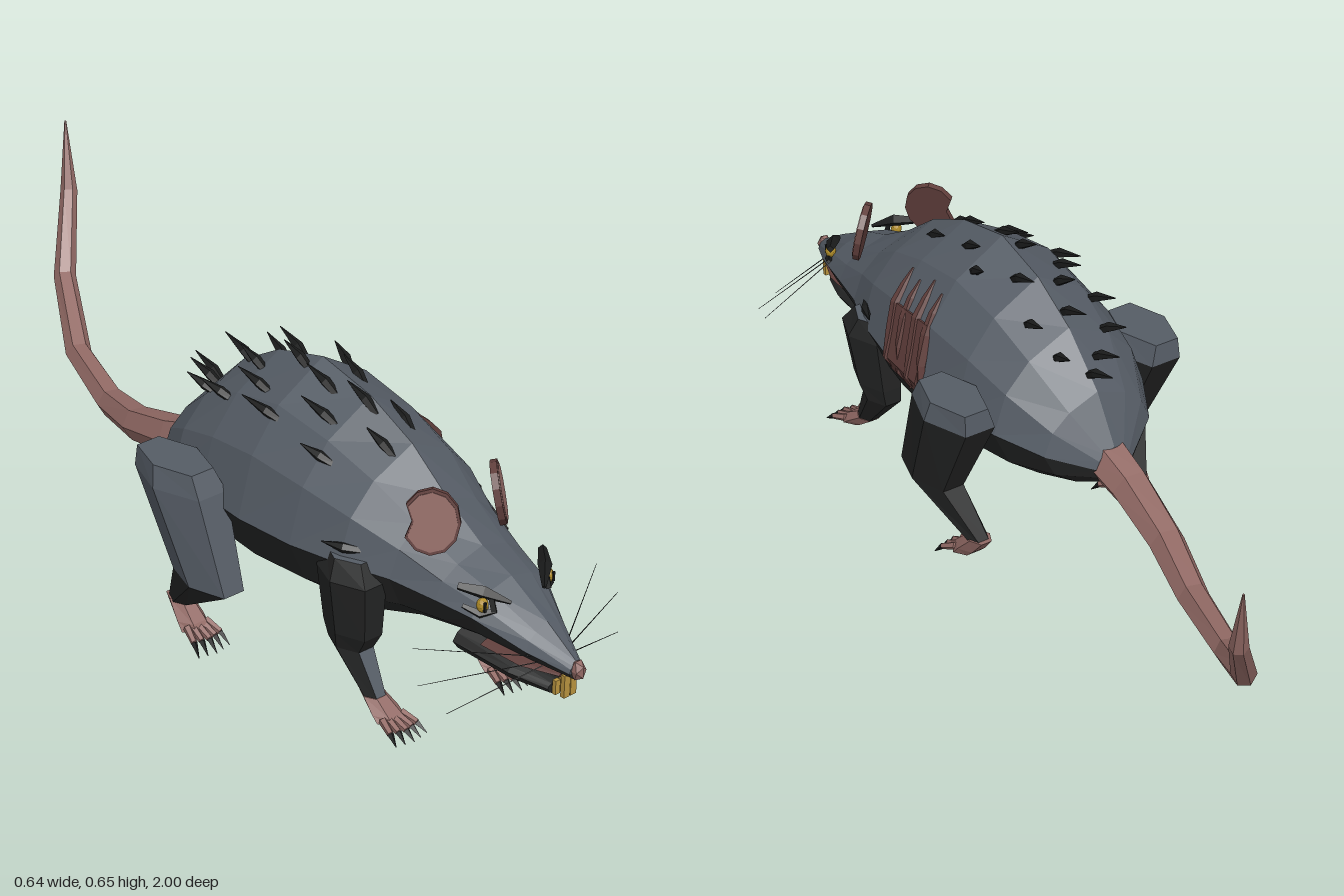
import * as THREE from 'three';

const V = (x, y, z) => new THREE.Vector3(x, y, z);
const mat = (name, color) => {
  const m = new THREE.MeshStandardMaterial({ color, flatShading: true });
  m.name = name;
  return m;
};

// Flat-faced skin over rings, closed at both ends; tint(row, side) picks 0 or 1 as material
function loft(rings, tint = () => 0) {
  const faces = [[], []];
  const tri = (m, ...p) => p.forEach(v => faces[m].push(v.x, v.y, v.z));
  const n = rings[0].length, end = rings.length - 1;
  const mid = r => r.reduce((s, p) => s.add(p), V(0, 0, 0)).divideScalar(n);
  const first = rings[0], last = rings[end];
  const c0 = mid(first), c1 = mid(last);
  for (let k = 0; k < n; k++) {
    const j = (k + 1) % n;
    for (let i = 0; i < end; i++) {
      const a = rings[i], b = rings[i + 1], m = tint(i, k);
      tri(m, a[k], a[j], b[k]);
      tri(m, a[j], b[j], b[k]);
    }
    tri(tint(-1, k), c0, first[j], first[k]);
    tri(tint(end, k), c1, last[k], last[j]);
  }
  const g = new THREE.BufferGeometry();
  g.setAttribute('position', new THREE.Float32BufferAttribute(faces.flat(), 3));
  g.addGroup(0, faces[0].length / 3, 0);
  g.addGroup(faces[0].length / 3, faces[1].length / 3, 1);
  g.computeVertexNormals();
  return g;
}

// Tapered tube through points, one radius per point
function tube(pts, radii, sides = 5) {
  return loft(pts.map((p, i) => {
    const t = pts[Math.min(i + 1, pts.length - 1)].clone().sub(pts[Math.max(i - 1, 0)]).normalize();
    const side = (Math.abs(t.y) > 0.97 ? V(1, 0, 0) : V(0, 1, 0)).cross(t).normalize();
    const up = t.clone().cross(side);
    return Array.from({ length: sides }, (_, k) => {
      const a = k / sides * Math.PI * 2;
      return p.clone().addScaledVector(side, Math.cos(a) * radii[i]).addScaledVector(up, Math.sin(a) * radii[i]);
    });
  }));
}

// Six-sided limb, rows of [x, y, z, halfX, halfZ] from top to bottom; side 1 faces the front
const limb = (rows, tint) => loft(rows.map(([x, y, z, hx, hz]) => Array.from({ length: 6 }, (_, k) => {
  const a = k * Math.PI / 3;
  return V(x + hx * Math.cos(a), y, z + hz * Math.sin(a) / 0.866);
})), tint);

// Body cross-section, from the crest down the -x side and back up the +x side
const half = [[0, 1], [-0.53, 0.76], [-0.84, 0.45], [-1, 0], [-0.8, -0.55], [-0.4, -0.93], [0, -1]];
const section = [...half, ...half.slice(1, 6).reverse().map(([x, y]) => [-x, y])];
const ring = ([z, w, top, mid, bot]) =>
  section.map(([u, v]) => V(u * w, mid + v * (v > 0 ? top - mid : mid - bot), z));

// [z, half width, top, widest height, bottom]
const bodyRows = [
  [-0.14, 0.045, 0.34, 0.3, 0.26], [-0.08, 0.13, 0.44, 0.33, 0.235], [0.02, 0.185, 0.54, 0.35, 0.205],
  [0.13, 0.205, 0.605, 0.355, 0.19], [0.26, 0.215, 0.64, 0.355, 0.182], [0.4, 0.205, 0.61, 0.355, 0.19],
  [0.52, 0.185, 0.555, 0.36, 0.205], [0.62, 0.145, 0.48, 0.355, 0.235], [0.72, 0.12, 0.42, 0.345, 0.25],
  [0.8, 0.1, 0.39, 0.335, 0.26], [0.9, 0.055, 0.335, 0.29, 0.255], [0.98, 0.018, 0.285, 0.265, 0.25]];
const bodyRings = bodyRows.map(ring);

// Point on the body at depth z and section position k
function onBody(z, k) {
  let i = 0;
  while (i < bodyRows.length - 2 && bodyRows[i + 1][0] < z) i++;
  const f = (z - bodyRows[i][0]) / (bodyRows[i + 1][0] - bodyRows[i][0]);
  const at = r => {
    const q = ((k % 12) + 12) % 12, b = Math.floor(q);
    return r[b].clone().lerp(r[(b + 1) % 12], q - b);
  };
  return at(bodyRings[i]).lerp(at(bodyRings[i + 1]), f);
}

export function createModel() {
  const fur = mat('slate fur', 0x555c65), belly = mat('dark belly fur', 0x242525);
  const skin = mat('pink skin', 0x926a65), scar = mat('scar brown', 0x613f3c);
  const dark = mat('black horn', 0x1a1b1b), tooth = mat('tooth yellow', 0xb8933f), eye = mat('eye yellow', 0xb08c28);
  const coat = [fur, belly];
  const model = new THREE.Group();
  model.name = 'rat';
  model.position.x = -0.02;
  const add = (name, geo, m, parent = model) => {
    const mesh = new THREE.Mesh(geo, m);
    mesh.name = name;
    parent.add(mesh);
    return mesh;
  };

  // Slate back over a dark underside
  add('body', loft(bodyRings, (i, k) => (k >= 3 && k <= 8 ? 1 : 0)), coat);

  // Tail
  add('tail', tube(
    [V(0, 0.305, -0.1), V(0, 0.275, -0.2), V(0.02, 0.235, -0.35), V(0.065, 0.21, -0.5), V(0.13, 0.23, -0.7),
      V(0.225, 0.325, -0.87), V(0.31, 0.48, -0.96), V(0.335, 0.63, -1)],
    [0.05, 0.044, 0.038, 0.033, 0.029, 0.025, 0.019, 0.002], 6), skin);

  // Jaw, mouth and nose
  add('lowerJaw', loft([[0.72, 0.07, 0.27, 0.235, 0.2], [0.85, 0.05, 0.24, 0.22, 0.19], [0.93, 0.022, 0.222, 0.21, 0.195]].map(ring)), belly);
  add('mouth', loft([[0.78, 0.055, 0.262, 0.25, 0.235], [0.88, 0.048, 0.258, 0.248, 0.24], [0.955, 0.02, 0.256, 0.25, 0.244]].map(ring)), scar);
  const nose = add('nose', new THREE.IcosahedronGeometry(0.017, 0), skin);
  nose.position.set(0, 0.27, 0.984);
  nose.scale.set(0.9, 1.35, 1);

  // Foot with five clawed toes
  function foot(name, x, z, ankle, tip) {
    const g = new THREE.Group();
    g.name = name;
    model.add(g);
    const h = t => tip + (ankle - tip) * t;
    add('palm', limb([[x, h(1.05), z, 0.025, 0.026], [x, h(0.6), z + 0.035, 0.033, 0.03], [x, h(0.38), z + 0.05, 0.034, 0.026]]), skin, g);
    for (let i = -2; i <= 2; i++) {
      const reach = 0.012 - 0.004 * Math.abs(i);
      const a = V(x + i * 0.012, h(0.5), z + 0.055), b = V(x + i * 0.017, h(0.3), z + 0.085 + reach);
      const c = V(x + i * 0.02, tip, z + 0.108 + reach);
      add('toe', tube([a, b], [0.009, 0.007]), skin, g);
      add('claw', tube([b, c], [0.007, 0.0008], 4), dark, g);
    }
  }

  for (const s of [-1, 1]) {
    // Hind leg: slate hip, shin and front of thigh, slate outer face on one side only
    const hindTint = (i, k) => (i < 1 || (i < 3 && k === 1) || (s < 0 && i === 1 && (k === 2 || k === 3)) ? 0 : 1);
    add('hindLeg', limb([[s * 0.235, 0.43, 0.09, 0.055, 0.085], [s * 0.23, 0.385, 0.1, 0.07, 0.1],
      [s * 0.23, 0.19, 0.185, 0.05, 0.08], [s * 0.2, 0.08, 0.065, 0.024, 0.028]], hindTint), coat);
    foot('hindFoot', s * 0.2, 0.055, 0.08, 0);

    // Front leg: dark, with a slate shin
    add('frontLeg', limb([[s * 0.15, 0.375, 0.52, 0.045, 0.05], [s * 0.16, 0.335, 0.53, 0.055, 0.07],
      [s * 0.15, 0.21, 0.525, 0.045, 0.06], [s * 0.145, 0.17, 0.515, 0.038, 0.045], [s * 0.143, 0.075, 0.585, 0.022, 0.022]],
    (i, k) => (i < 0 || (i === 3 && k === 1) ? 0 : 1)), coat);
    foot('frontFoot', s * 0.143, 0.58, 0.08, 0.028);

    // Ear: brown shell, pink inner plate, a notch torn in one
    const ear = new THREE.Group();
    ear.name = 'ear';
    ear.position.set(s * 0.087, 0.482, 0.67);
    ear.rotation.set(-0.2, s * 0.82, 0, 'YXZ');
    model.add(ear);
    const flatShape = (f, depth) => new THREE.ExtrudeGeometry(new THREE.Shape(Array.from({ length: 12 }, (_, k) => {
      const a = k * Math.PI / 6, r = (s < 0 && k === 6 ? 0.65 : 1);
      return new THREE.Vector2(0.056 * f * r * Math.cos(a), 0.066 * f * Math.sin(a));
    })), { depth, bevelEnabled: false });
    add('earShell', flatShape(1, 0.014), scar, ear).position.z = -0.007;
    add('earInner', flatShape(0.9, 0.005), skin, ear).position.z = 0.004;

    // Eye with slit pupil, dark lids and slanted brow
    const ball = add('eye', new THREE.IcosahedronGeometry(0.012, 1), eye);
    ball.position.set(s * 0.085, 0.364, 0.812);
    ball.scale.y = 1.3;
    add('pupil', new THREE.BoxGeometry(0.005, 0.02, 0.004), dark).position.set(s * 0.089, 0.365, 0.823);
    add('lowerLid', tube([V(s * 0.108, 0.358, 0.782), V(s * 0.09, 0.346, 0.812), V(s * 0.068, 0.354, 0.833)], [0.005, 0.009, 0.004], 4), dark);
    add('innerLid', tube([V(s * 0.071, 0.35, 0.83), V(s * 0.071, 0.38, 0.82)], [0.007, 0.007], 4), dark);
    add('brow', tube([V(s * 0.11, 0.396, 0.77), V(s * 0.08, 0.388, 0.808), V(s * 0.043, 0.368, 0.845)], [0.008, 0.014, 0.004], 4), dark);

    // Teeth
    add('upperTooth', new THREE.BoxGeometry(0.015, 0.048, 0.01), tooth).position.set(s * 0.0085, 0.229, 0.962);
    add('lowerTooth', new THREE.BoxGeometry(0.012, 0.03, 0.009), tooth).position.set(s * 0.008, 0.215, 0.938);

    // Whiskers
    [[0.24, 0.32, 0.79], [0.262, 0.267, 0.83], [0.225, 0.21, 0.87]].forEach(([x, y, z], i) =>
      add('whisker', tube([V(s * 0.03, 0.28 - i * 0.01, 0.92), V(s * x, y, z)], [0.0014, 0.0006], 3), dark));
  }

  // Raw patch on one flank, crossed by raised claw scars
  const patchSides = [8.5, 9, 9.5, 10];
  add('scarPatch', loft([0.262, 0.31, 0.36, 0.4].map(z => [
    ...patchSides.map(k => onBody(z, k).add(V(0.005, 0.003, 0))),
    ...[...patchSides].reverse().map(k => onBody(z, k).add(V(-0.004, 0, 0)))])), scar);
  [0.4, 0.355, 0.31, 0.265].forEach((z, i) => {
    const pts = [10.8, 10.4, 10, 9.5, 9, 8.5].map((k, j) => onBody(z + 0.006 * (2 - j), k - (i % 2) * 0.15));
    add('scar', tube(pts, [0.003, 0.01, 0.013, 0.013, 0.011, 0.003], 5), scar);
  });

  // Back-swept quills: [z, section position]
  const quills = [[0.5, 0.4], [0.47, -0.4], [0.42, 0.1], [0.38, 0.7], [0.42, 1.3], [0.33, -0.4], [0.33, 0.3], [0.27, 1.2],
    [0.25, -0.7], [0.24, 0.2], [0.2, 0.8], [0.17, -0.3], [0.13, 0.4], [0.11, 1.1], [0.08, -0.6], [0.06, 0.1], [0.03, 0.9],
    [0, -0.5], [-0.02, 0.4], [-0.05, 0], [0.54, 2.6], [0.54, -2.6]];
  quills.forEach(([z, k], i) => {
    const p = onBody(z, k);
    const out = V(p.x * 1.2, p.y - 0.36, 0).normalize();
    const len = 0.058 + 0.008 * (i % 4);
    const at = (o, b) => p.clone().addScaledVector(out, o).add(V(0, 0, b));
    add('quill', tube([at(-0.012, 0.01), at(0.01, -len * 0.3), at(0.03, -len)], [0.008, 0.011, 0.001], 5), dark);
  });

  return model;
}
